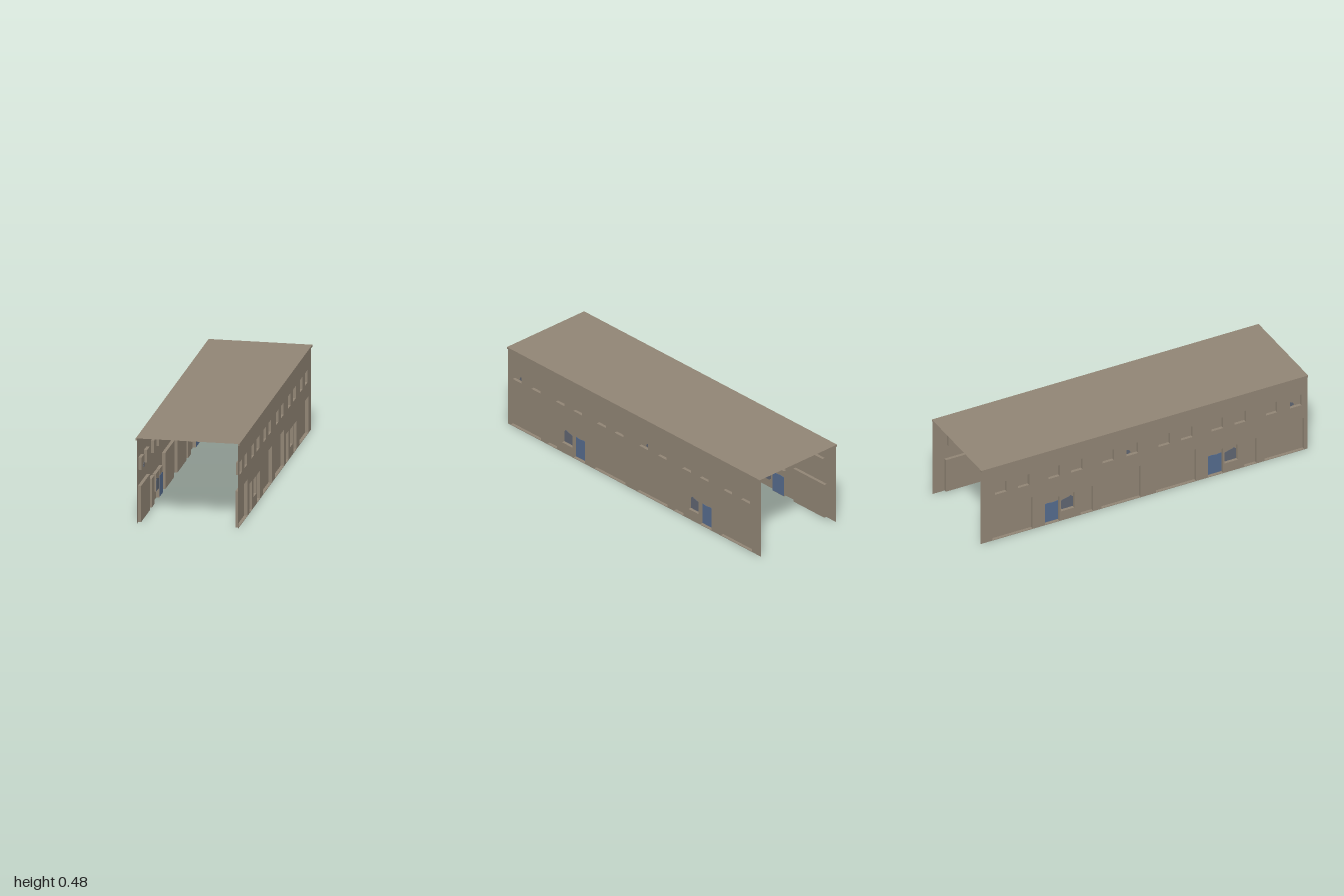
import * as THREE from 'three';
import { mergeGeometries } from 'three/addons/utils/BufferGeometryUtils.js';

const FACE = 0.278, BACK = 0.26, EAVE = 0.286, TOP = 0.478;

const mat = (name, color) => {
  const m = new THREE.MeshStandardMaterial({ color, side: THREE.DoubleSide });
  m.name = name;
  return m;
};

// Openings of one bay: [name, z high, z low, y bottom, y top]
const OPENINGS = [
  ['wideDoor', 0.979, 0.738, 0.003, 0.206],
  ['narrowDoor', 0.688, 0.611, 0.003, 0.165],
  ['shopWindow', 0.573, 0.492, 0.06, 0.16],
  ['blueDoor', 0.482, 0.392, 0.003, 0.16],
  ['wideDoor', 0.318, 0.072, 0.003, 0.207],
  ...[0.963, 0.815, 0.623, 0.484, 0.297, 0.158].map((z) => ['upperWindow', z, z - 0.07, 0.292, 0.362]),
];

// Painted panes in the recesses of one bay, as (z, y) outlines
const PANES = [
  ['shopWindowPane', 'glass', [[0.572, 0.062], [0.505, 0.061], [0.494, 0.072], [0.494, 0.108], [0.508, 0.12], [0.55, 0.13], [0.558, 0.136], [0.572, 0.124]]],
  ['blueDoorPanel', 'blue', [[0.481, 0.006], [0.393, 0.006], [0.393, 0.122], [0.42, 0.126], [0.45, 0.122], [0.481, 0.126]]],
  ['upperWindowPane', 'glass', [[0.925, 0.3], [0.912, 0.294], [0.895, 0.294], [0.895, 0.32], [0.908, 0.318], [0.92, 0.312]]],
];

const outline = (points, Kind = THREE.Shape) => new Kind(points.map(([u, y]) => new THREE.Vector2(u, y)));
const rect = (a, b, c, d) => [[a, c], [b, c], [b, d], [a, d]];

// Five-sided recess: reveals on all four edges and a back panel
function recessGeometry(u0, u1, y0, y1) {
  const w = u1 - u0, h = y1 - y0, d = FACE - BACK;
  const u = (u0 + u1) / 2, y = (y0 + y1) / 2, z = (FACE + BACK) / 2;
  return mergeGeometries([
    new THREE.PlaneGeometry(w, h).translate(u, y, BACK),
    new THREE.PlaneGeometry(d, h).rotateY(Math.PI / 2).translate(u0, y, z),
    new THREE.PlaneGeometry(d, h).rotateY(-Math.PI / 2).translate(u1, y, z),
    new THREE.PlaneGeometry(w, d).rotateX(-Math.PI / 2).translate(u, y0, z),
    new THREE.PlaneGeometry(w, d).rotateX(Math.PI / 2).translate(u, y1, z),
  ]);
}

export function createModel() {
  const mats = {
    stone: mat('stone', 0x908474),
    blue: mat('door blue', 0x546a8c),
    glass: mat('glass grey', 0x5e6470),
  };
  const model = new THREE.Group();
  model.name = 'longBuilding';

  const add = (parent, name, geometry, material) => {
    const mesh = new THREE.Mesh(geometry, material);
    mesh.name = name;
    parent.add(mesh);
  };

  // One long facade, drawn flat with u = -z and turned to face +x
  function facade() {
    const flat = new THREE.Group();
    flat.rotation.y = Math.PI / 2;
    const wall = outline(rect(-1, 1, 0, TOP));
    for (const shift of [0, 1]) {
      for (const [name, z0, z1, y0, y1] of OPENINGS) {
        const u0 = shift - z0, u1 = shift - z1;
        wall.holes.push(outline(rect(u0, u1, y0, y1), THREE.Path));
        add(flat, name + 'Recess', recessGeometry(u0, u1, y0, y1), mats.stone);
      }
      for (const [name, color, points] of PANES) {
        const shape = outline(points.map(([z, y]) => [shift - z, y]));
        const plate = new THREE.ExtrudeGeometry(shape, { depth: 0.004, bevelEnabled: false });
        add(flat, name, plate.translate(0, 0, BACK - 0.002), mats[color]);
      }
    }
    add(flat, 'wall', new THREE.ShapeGeometry(wall).translate(0, 0, FACE), mats.stone);
    // Eaves moulding
    const eave = new THREE.BoxGeometry(2, 0.011, EAVE - FACE);
    add(flat, 'cornice', eave.translate(0, TOP - 0.0055, (EAVE + FACE) / 2), mats.stone);
    return flat;
  }

  // Two mirrored facades, open at both ends
  for (const side of [1, -1]) {
    const half = new THREE.Group();
    half.name = side > 0 ? 'leftFacade' : 'rightFacade';
    half.add(facade());
    half.scale.x = side;
    model.add(half);
  }

  // Flat roof sheet
  add(model, 'roof', new THREE.PlaneGeometry(EAVE * 2, 2).rotateX(-Math.PI / 2).translate(0, TOP + 0.0003, 0), mats.stone);
  return model;
}
